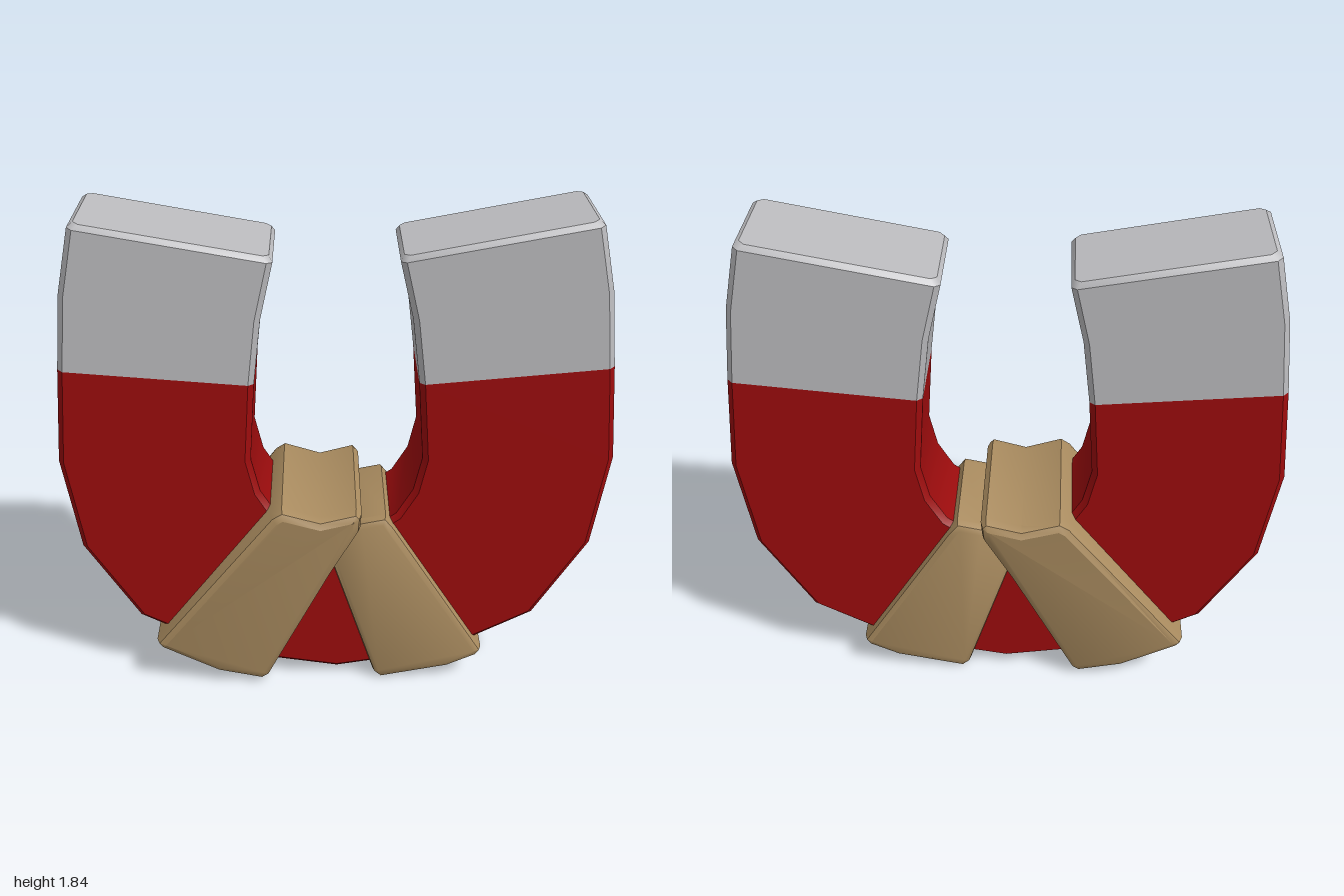
import * as THREE from 'three';
import { toCreasedNormals } from 'three/addons/utils/BufferGeometryUtils.js';

const red = new THREE.MeshStandardMaterial({ color: 0x9c0c0d });
red.name = 'red paint';
const steel = new THREE.MeshStandardMaterial({ color: 0xbbbbbe });
steel.name = 'pale steel';
const tan = new THREE.MeshStandardMaterial({ color: 0xa98b5f });
tan.name = 'tan wrap';

const MID_Z = -0.005; // middle of the depth
const HALF_Z = 0.188;
const BEVEL = 0.02;

// Stations of one arm, from bottom to tip: outer x, y, inner x, y
const arm = [
  [0, 0.035, 0, 0.62],
  [0.4, 0.1, 0.12, 0.66],
  [0.75, 0.285, 0.22, 0.73],
  [0.945, 0.6, 0.28, 0.83],
  [1, 0.96, 0.31, 0.96],
  [0.97, 1.32, 0.29, 1.26],
  [0.94, 1.6, 0.262, 1.5],
  [0.89, 1.832, 0.215, 1.707],
  [0.886, 1.85, 0.211, 1.725, 0.016], // inset end for a softened rim
];
const flip = (list) => list.map(([a, b, c, d, e]) => [-a, b, -c, d, e]).reverse();

// Chamfered rectangle between the outer and inner point of a station
function section([ox, oy, ix, iy, inset = 0]) {
  const outer = new THREE.Vector3(ox, oy, MID_Z);
  const inner = new THREE.Vector3(ix, iy, MID_Z);
  const len = outer.distanceTo(inner);
  const dir = outer.clone().sub(inner).divideScalar(len);
  const u0 = inset, u1 = len - inset, z = HALF_Z - inset, c = BEVEL;
  return [
    [u0 + c, z], [u0, z - c], [u0, c - z], [u0 + c, -z],
    [u1 - c, -z], [u1, c - z], [u1, z - c], [u1 - c, z],
  ].reverse().map(([u, w]) => {
    const p = inner.clone().addScaledVector(dir, u);
    p.z += w;
    return p;
  }).reverse();
}

// Skin over a row of stations, closed at both ends
function loft(stations) {
  const rings = stations.map(section);
  const n = rings[0].length;
  const pos = [];
  const tri = (...pts) => pts.forEach((p) => pos.push(p.x, p.y, p.z));
  for (let s = 0; s < rings.length - 1; s++) {
    const a = rings[s], b = rings[s + 1];
    for (let i = 0; i < n; i++) {
      const j = (i + 1) % n;
      tri(a[i], b[j], a[j]);
      tri(a[i], b[i], b[j]);
    }
  }
  const first = rings[0], last = rings[rings.length - 1];
  for (let i = 1; i < n - 1; i++) {
    tri(first[0], first[i], first[i + 1]);
    tri(last[0], last[i + 1], last[i]);
  }
  const g = new THREE.BufferGeometry();
  g.setAttribute('position', new THREE.Float32BufferAttribute(pos, 3));
  return toCreasedNormals(g, 0.6);
}

// Solid wrap from a front outline; its depth goes from low to high with y
function wrap(points, low, high, bevel) {
  const shape = new THREE.Shape(points.map(([x, y]) => new THREE.Vector2(x, y)));
  const g = new THREE.ExtrudeGeometry(shape, {
    depth: 2 - 2 * 0.17, bevelThickness: 0.17, bevelSize: bevel,
    bevelOffset: -bevel, bevelSegments: 2,
  });
  g.translate(0, 0, -(1 - 0.17));
  const p = g.attributes.position;
  for (let i = 0; i < p.count; i++) {
    const half = THREE.MathUtils.mapLinear(p.getY(i), 0.08, 0.73, low, high);
    p.setZ(i, p.getZ(i) * half + MID_Z);
  }
  return toCreasedNormals(g, 0.6);
}

export function createModel() {
  const group = new THREE.Group();
  const add = (name, geometry, material) => {
    const mesh = new THREE.Mesh(geometry, material);
    mesh.name = name;
    group.add(mesh);
  };

  // Horseshoe body and the two bare tips
  const half = arm.slice(0, 6), tip = arm.slice(5);
  add('magnetBody', loft([...flip(half.slice(1)), ...half]), red);
  add('leftTip', loft(tip), steel);
  add('rightTip', loft(flip(tip)), steel);

  // Wide wrap leaning over the narrow one
  add('wideWrap', wrap([
    [-0.69, 0.2], [-0.67, 0.175], [-0.46, 0.06], [-0.29, 0.02], [-0.26, 0.04],
    [-0.02, 0.52], [0.085, 0.71], [0.09, 0.77], [0.07, 0.79],
    [-0.06, 0.757], [-0.2, 0.8], [-0.24, 0.775],
  ], 0.25, 0.285, 0.03), tan);
  add('narrowWrap', wrap([
    [0.14, 0.035], [0.17, 0.008], [0.43, 0.058], [0.54, 0.108], [0.56, 0.135],
    [0.215, 0.69], [0.18, 0.735], [0.08, 0.715], [-0.04, 0.6],
  ], 0.225, 0.222, 0.025), tan);
  return group;
}
